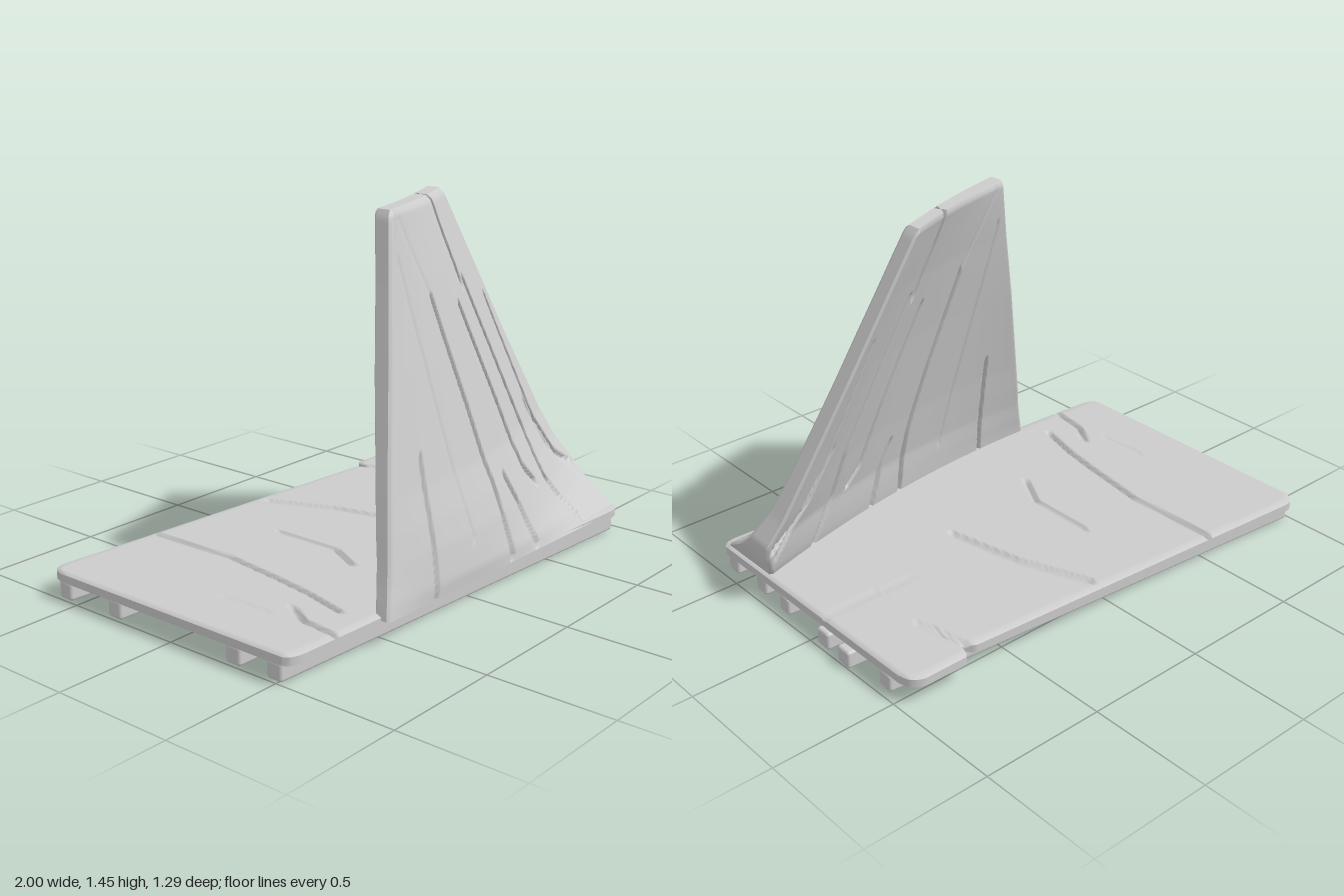
import * as THREE from 'three';
import { RoundedBoxGeometry } from 'three/addons/geometries/RoundedBoxGeometry.js';

const { lerp, clamp } = THREE.MathUtils;
const material = new THREE.MeshStandardMaterial({ color: 0xcccccc, side: THREE.DoubleSide });

// Cracks between planks: [half width, depth, points...]
const panelCracks = [
  [0.011, 0.03, [0.22, 1.46], [0.25, 1.32], [0.31, 1.12]],
  [0.011, 0.026, [0.02, 1.12], [0.07, 0.9], [0.12, 0.7], [0.18, 0.4], [0.2, 0.11]],
  [0.011, 0.028, [0.24, 1.05], [0.31, 0.85], [0.38, 0.65], [0.46, 0.38], [0.52, 0.31]],
  [0.011, 0.028, [0.34, 1.13], [0.45, 0.85], [0.58, 0.5], [0.62, 0.3], [0.71, 0.12]],
  [0.011, 0.028, [0.56, 1.02], [0.67, 0.7], [0.74, 0.5], [0.85, 0.32], [0.97, 0.25]],
  [0.009, 0.02, [-0.24, 0.6], [-0.28, 0.1]],
  [0.011, 0.025, [0.28, 0.4], [0.32, 0.3], [0.37, 0.11]],
  [0.009, 0.006, [-0.16, 1.28], [-0.08, 0.65], [-0.03, 0.25]],
  [0.01, 0.015, [0.68, 0.58], [0.78, 0.38], [0.95, 0.2]],
  [0.009, 0.005, [-0.12, 1.44], [0.02, 1.12]],
];
const baseCracks = [
  [0.012, 0.024, [-0.5, -0.6], [-0.49, -0.2], [-0.53, 0.08], [-0.56, 0.25], [-0.61, 0.44]],
  [0.012, 0.024, [0.07, -0.53], [0.18, -0.25], [0.25, 0.08]],
  [0.01, 0.02, [-0.17, -0.24], [-0.17, 0.05], [-0.25, 0.2]],
  [0.01, 0.006, [-0.78, 0.04], [-0.77, 0.25]],
  [0.012, 0.024, [-0.69, 0.3], [-0.75, 0.4], [-0.77, 0.55]],
  [0.011, 0.012, [0.67, -0.56], [0.74, -0.3]],
  [0.011, 0.005, [0.55, -0.05], [0.97, -0.05]],
];

// Depth of the nearest crack at a point
function crackAt(cracks, x, y) {
  let deepest = 0;
  for (const [w, depth, ...pts] of cracks) {
    for (let i = 1; i < pts.length; i++) {
      const [ax, ay] = pts[i - 1], [bx, by] = pts[i];
      const dx = bx - ax, dy = by - ay;
      const t = clamp(((x - ax) * dx + (y - ay) * dy) / (dx * dx + dy * dy), 0, 1);
      const d = Math.hypot(x - ax - dx * t, y - ay - dy * t);
      deepest = Math.max(deepest, depth * clamp(1.5 * (1 - d / w), 0, 1));
    }
  }
  return deepest;
}

// Smooth sheet from a function of (u, v)
function sheet(fn, nu, nv) {
  const pos = [], index = [];
  for (let j = 0; j <= nv; j++) {
    for (let i = 0; i <= nu; i++) {
      pos.push(...fn(i / nu, j / nv));
      if (i === nu || j === nv) continue;
      const a = j * (nu + 1) + i, b = a + nu + 1;
      index.push(a, a + 1, b + 1, a, b + 1, b);
    }
  }
  const g = new THREE.BufferGeometry();
  g.setAttribute('position', new THREE.Float32BufferAttribute(pos, 3));
  g.setIndex(index);
  g.computeVertexNormals();
  return g;
}

// Closed slab: two faces joined by a rim around their four borders
function slab(name, face, nu, nv) {
  const group = new THREE.Group();
  group.name = name;
  const add = (label, g) => {
    const m = new THREE.Mesh(g, material);
    m.name = name + label;
    group.add(m);
  };
  add('Face', sheet((u, v) => face(u, v, 0), nu, nv));
  add('Reverse', sheet((u, v) => face(1 - u, v, 1), nu, nv));
  const sides = [
    [nu, t => [t, 0]], [nv, t => [1, t]],
    [nu, t => [1 - t, 1]], [nv, t => [0, 1 - t]],
  ];
  for (const [n, at] of sides) {
    add('Rim', sheet((t, s) => {
      const a = face(...at(t), 1), b = face(...at(t), 0);
      return a.map((c, k) => lerp(c, b[k], s));
    }, n, 1));
  }
  return group;
}

// Leaning panel sections: y, left x, right x, front z left/right, back z left/right, forward bow front/back
const sections = [
  [0.1, -0.55, 0.95, 0.62, 0.64, 0.55, 0.32, 0, 0.06],
  [0.15, -0.535, 0.97, 0.61, 0.56, 0.54, 0.29, 0.04, 0.07],
  [0.21, -0.515, 0.99, 0.595, 0.46, 0.525, 0.265, 0.075, 0.08],
  [0.28, -0.495, 1.0, 0.58, 0.375, 0.51, 0.245, 0.1, 0.09],
  [0.38, -0.468, 0.942, 0.558, 0.325, 0.483, 0.22, 0.1, 0.095],
  [0.5, -0.435, 0.885, 0.53, 0.285, 0.455, 0.195, 0.088, 0.095],
  [0.9, -0.32, 0.69, 0.44, 0.205, 0.355, 0.12, 0.065, 0.08],
  [1.2, -0.233, 0.541, 0.37, 0.155, 0.288, 0.072, 0.042, 0.052],
  [1.435, -0.17, 0.425, 0.316, 0.115, 0.235, 0.035, 0.02, 0.02],
  [1.46, -0.155, 0.405, 0.31, 0.11, 0.23, 0.03, 0.015, 0.015],
];
function sectionAt(y) {
  let i = 1;
  while (i < sections.length - 1 && sections[i][0] < y) i++;
  const a = sections[i - 1], b = sections[i], t = clamp((y - a[0]) / (b[0] - a[0]), 0, 1);
  return a.map((c, k) => lerp(c, b[k], t));
}
function panelPoint(u, v, back) {
  const y = lerp(0.1, 1.46, v), bulge = 4 * u * (1 - u);
  const [, xl, xr, fl, fr, bl, br, frontBow, backBow] = sectionAt(y);
  const x = lerp(xl, xr, u);
  const border = Math.min(x - xl, xr - x, 1.46 - y);
  const sink = crackAt(panelCracks, x, y) + Math.max(0, 0.012 - border);
  const z = back ? lerp(bl, br, u) + backBow * bulge + sink : lerp(fl, fr, u) + frontBow * bulge - sink;
  return [x, y, z];
}

// Deck: slanted long edges, rounded corners, a chipped back edge
function deckPoint(u, v, under) {
  const x = lerp(-1, 0.97, u), r = 0.075;
  const e = Math.max(0, r - Math.min(x + 1, 0.97 - x));
  const inset = r - Math.sqrt(r * r - e * e);
  const chip = 0.035 * Math.max(0, 1 - Math.abs(x - 0.69) / 0.035);
  const zf = lerp(0.565, 0.645, u) - inset * 0.5;
  const zb = lerp(-0.655, -0.54, Math.min(1, u * 1.19)) - (x > 0.71 ? 0.03 : 0) + inset + chip;
  const z = lerp(zf, zb, v);
  const border = Math.min(x + 1, 0.97 - x, zf - z, z - zb);
  const edge = Math.max(0, 0.008 - border), crack = crackAt(baseCracks, x, z);
  return [x, under ? 0.074 + crack * 0.4 + edge * 0.5 : 0.118 - crack - edge, z];
}

// Runners under the deck: left x, left z, right x, right z
const runners = [
  [-0.99, 0.48, 0.96, 0.58], [-0.99, 0.29, 0.96, 0.385], [-0.64, 0.045, 0.97, 0.215],
  [-0.74, -0.13, 0.99, -0.065], [-0.99, -0.305, 1.0, -0.205], [-0.99, -0.575, 0.97, -0.41],
];

export function createModel() {
  const model = new THREE.Group();
  model.name = 'leaningPanelOnPallet';
  model.add(slab('deck', deckPoint, 190, 60));
  model.add(slab('panel', panelPoint, 220, 90));
  for (const [x0, z0, x1, z1] of runners) {
    const length = Math.hypot(x1 - x0, z1 - z0);
    const runner = new THREE.Mesh(new RoundedBoxGeometry(length, 0.072, 0.072, 2, 0.012), material);
    runner.name = 'runner';
    runner.position.set((x0 + x1) / 2, 0.042, (z0 + z1) / 2);
    runner.rotation.y = -Math.atan2(z1 - z0, x1 - x0);
    model.add(runner);
  }
  return model;
}
